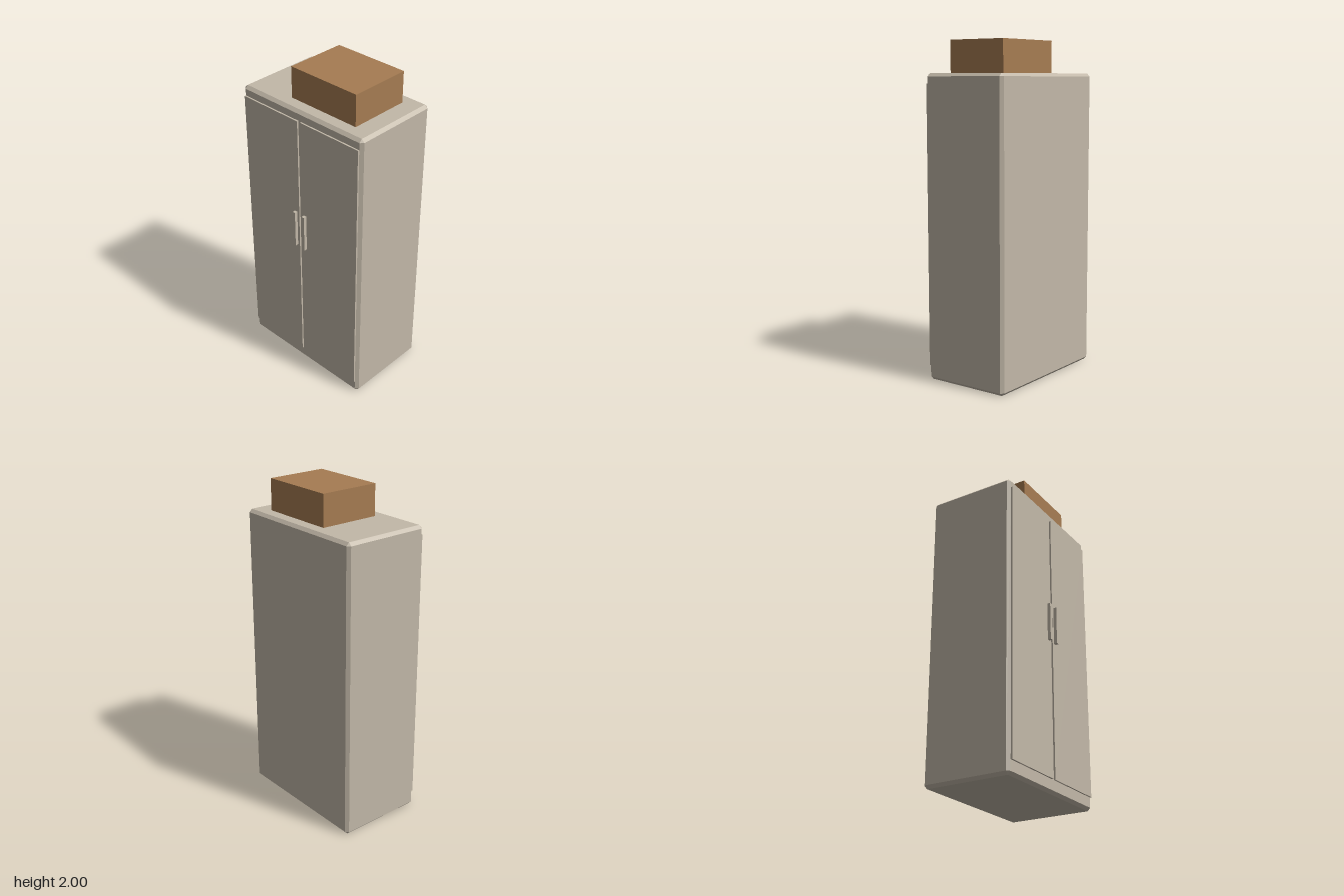
import * as THREE from 'three';
import { ConvexGeometry } from 'three/addons/geometries/ConvexGeometry.js';

const cabinetPaint = new THREE.MeshStandardMaterial({ name: 'cabinetPaint', color: 0xc2b8a8 });
const cardboard = new THREE.MeshStandardMaterial({ name: 'cardboard', color: 0xa67c52 });

// Box given by its minimum and maximum corners
function addBox(parent, name, material, min, max) {
  const size = max.map((v, i) => v - min[i]);
  const mesh = new THREE.Mesh(new THREE.BoxGeometry(...size), material);
  mesh.position.set(...max.map((v, i) => (v + min[i]) / 2));
  mesh.name = name;
  parent.add(mesh);
}

// Box with every edge cut by a flat chamfer: three points at each corner
function chamferedBox(w, h, d, c) {
  const points = [];
  for (const sx of [-1, 1]) for (const sy of [-1, 1]) for (const sz of [-1, 1]) {
    for (let axis = 0; axis < 3; axis++) {
      const inset = [c, c, c];
      inset[axis] = 0;
      points.push(new THREE.Vector3(
        sx * (w / 2 - inset[0]), sy * (h / 2 - inset[1]), sz * (d / 2 - inset[2])));
    }
  }
  return new ConvexGeometry(points);
}

export function createModel() {
  const model = new THREE.Group();
  model.name = 'wardrobe';

  // Cabinet body
  const body = new THREE.Mesh(chamferedBox(0.91, 1.81, 0.548, 0.018), cabinetPaint);
  body.position.set(0, 0.905, -0.016);
  body.name = 'cabinetBody';
  model.add(body);

  // Pair of doors with bar handles
  for (const [side, s] of [['left', 1], ['right', -1]]) {
    const span = (a, b) => (s > 0 ? [a, b] : [-b, -a]);
    const [d0, d1] = span(0.011, 0.437);
    addBox(model, side + 'Door', cabinetPaint, [d0, 0.08, 0.257], [d1, 1.75, 0.268]);
    const [h0, h1] = span(0.027, 0.046);
    addBox(model, side + 'Handle', cabinetPaint, [h0, 0.91, 0.268], [h1, 1.145, 0.288]);
  }

  // Storage box resting on top
  addBox(model, 'storageBox', cardboard, [-0.145, 1.81, -0.205], [0.332, 2, 0.173]);

  return model;
}
